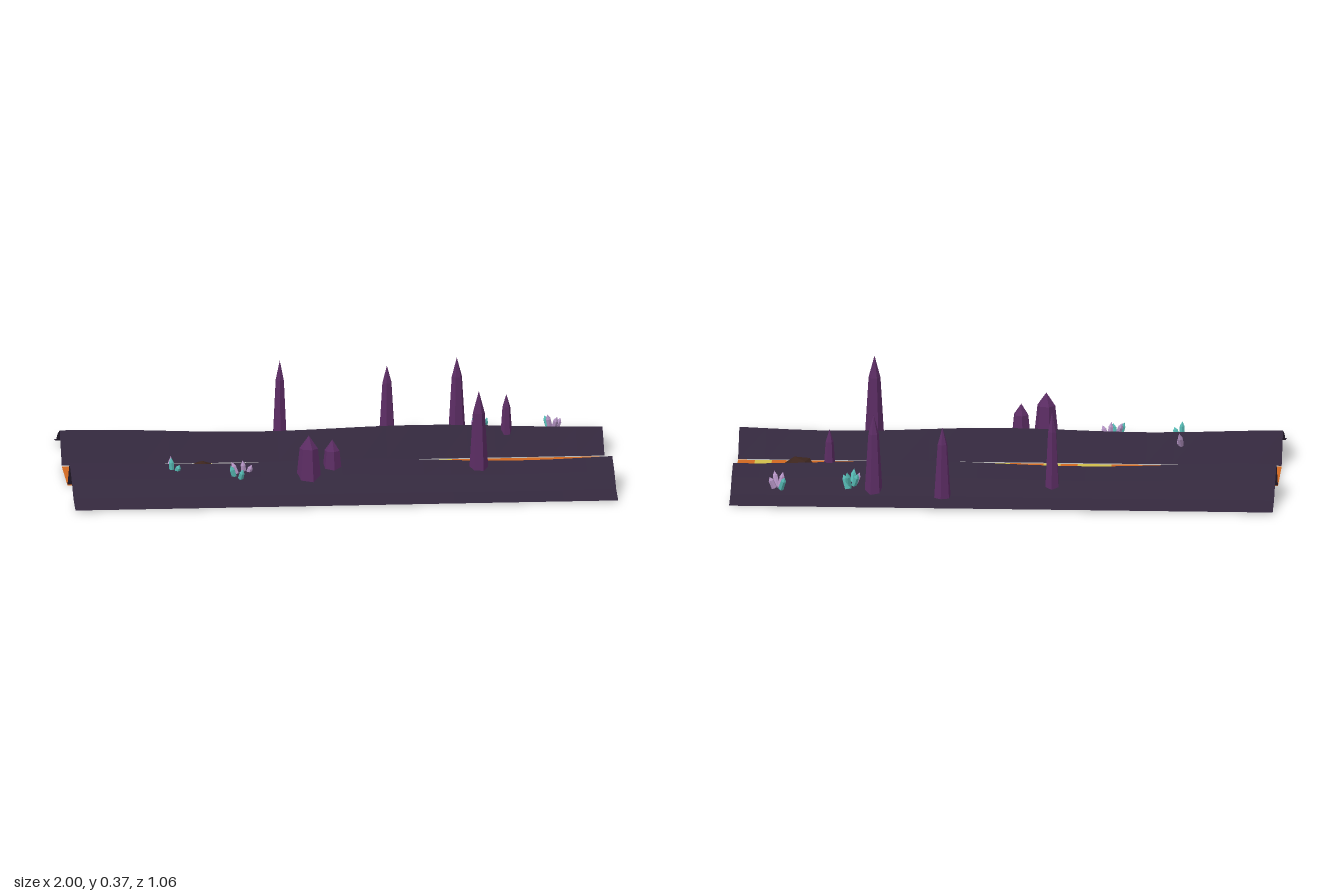
import * as THREE from 'three';

const mat = (name, color, side = THREE.FrontSide) => {
  const m = new THREE.MeshStandardMaterial({ color, flatShading: true, side });
  m.name = name;
  return m;
};

// Small seeded random generator
function seeded(seed) {
  let s = seed;
  return () => (s = (s * 16807) % 2147483647) / 2147483647;
}

// Horizontal or sloped sheet from rows of points; rows run along x
function sheet(rows) {
  const pos = [], idx = [], n = rows[0].length;
  rows.forEach(r => r.forEach(p => pos.push(...p)));
  for (let i = 0; i < rows.length - 1; i++) {
    for (let j = 0; j < n - 1; j++) {
      const a = i * n + j, b = a + 1, c = a + n, d = c + 1;
      idx.push(a, c, b, b, c, d);
    }
  }
  const g = new THREE.BufferGeometry();
  g.setAttribute('position', new THREE.Float32BufferAttribute(pos, 3));
  g.setIndex(idx);
  g.computeVertexNormals();
  return g;
}

// Bank with a wavy ridge; side is +1 for the front and -1 for the back
function bankGeometry(side) {
  const profile = [[0.14, 0.003, 0], [0.24, 0.1, 1], [0.34, 0.068, 0.55], [0.43, 0.022, 0.15], [0.53, 0.004, 0]];
  if (side < 0) profile.reverse();
  const wave = x => side > 0
    ? 0.007 * Math.sin(x * 5.5 + 1.2) - 0.005 * Math.sin(x * 2)
    : 0.008 * Math.sin(x * 5 - 0.1) - 0.004 * x;
  return sheet(profile.map(([z, y, w]) => {
    const row = [];
    for (let i = 0; i <= 20; i++) {
      const x = -1 + i * 0.1;
      row.push([x, y + w * wave(x), z * side]);
    }
    return row;
  }));
}

// Lava cells in a 32 x 3 grid, either the hot ones or the rest
const HOT = [
  [[4, 5], [8, 10], [14, 16], [20, 23]],
  [[1, 3], [4, 6], [17, 18], [19, 21], [27, 30]],
  [[3, 4], [10, 12], [13, 14], [16, 17], [23, 25], [30, 31]],
];
function lavaGeometry(hot) {
  const pos = [];
  const d = 0.28 / 3;
  HOT.forEach((runs, r) => {
    for (let c = 0; c < 32; c++) {
      if (runs.some(([a, b]) => c >= a && c < b) !== hot) continue;
      const x0 = -1 + c / 16, x1 = x0 + 1 / 16, z0 = -0.14 + r * d, z1 = z0 + d;
      pos.push(x0, 0, z0, x0, 0, z1, x1, 0, z0, x1, 0, z0, x0, 0, z1, x1, 0, z1);
    }
  });
  const g = new THREE.BufferGeometry();
  g.setAttribute('position', new THREE.Float32BufferAttribute(pos, 3));
  g.computeVertexNormals();
  return g;
}

// Six-sided crystal column with a pointed tip, standing on y = 0
function crystalGeometry(r, h, shoulder, taper) {
  return new THREE.LatheGeometry([
    new THREE.Vector2(0, 0), new THREE.Vector2(r, 0),
    new THREE.Vector2(r * taper, h * shoulder), new THREE.Vector2(0, h),
  ], 6);
}

export function createModel() {
  const root = new THREE.Group();
  root.name = 'lavaRiver';
  const ground = mat('darkGround', 0x33283d, THREE.DoubleSide);
  const lava = mat('lava', 0xd0681f, THREE.DoubleSide);
  const hotLava = mat('hotLava', 0xd0be4a, THREE.DoubleSide);
  const rock = mat('rock', 0x3c251e);
  const purple = mat('purpleCrystal', 0x5c2d64);
  const teal = mat('tealCrystal', 0x55b8b2);
  const lilac = mat('lilacCrystal', 0xb494c4);

  const add = (parent, name, geometry, material, x = 0, y = 0, z = 0) => {
    const m = new THREE.Mesh(geometry, material);
    m.name = name;
    m.position.set(x, y, z);
    parent.add(m);
    return m;
  };

  add(root, 'frontBank', bankGeometry(1), ground);
  add(root, 'backBank', bankGeometry(-1), ground);
  add(root, 'lavaFlow', lavaGeometry(false), lava);
  add(root, 'hotLavaPatches', lavaGeometry(true), hotLava);

  // Flat-bottomed rocks drifting on the lava: x, z, half width, half depth, height
  const rocks = new THREE.Group();
  rocks.name = 'rocks';
  root.add(rocks);
  const rnd = seeded(71);
  [[-0.75, -0.03, 0.045, 0.042, 0.03], [-0.49, -0.06, 0.045, 0.038, 0.03], [-0.53, 0.005, 0.055, 0.034, 0.028],
    [-0.4, -0.03, 0.034, 0.023, 0.022], [-0.27, 0, 0.038, 0.03, 0.024], [-0.19, 0.01, 0.032, 0.03, 0.024],
    [-0.03, -0.02, 0.032, 0.028, 0.022], [0.21, 0.03, 0.036, 0.03, 0.025], [0.7, 0, 0.03, 0.026, 0.02],
    [0.77, 0.06, 0.058, 0.05, 0.033]].forEach(([x, z, w, d, h]) => {
    const g = new THREE.IcosahedronGeometry(1, 0);
    g.rotateX(rnd() * 3);
    g.rotateY(rnd() * 6);
    const p = g.attributes.position;
    for (let i = 0; i < p.count; i++) p.setY(i, Math.max(p.getY(i), 0));
    g.scale(w, h, d);
    g.computeVertexNormals();
    add(rocks, 'rock', g, rock, x, 0.004, z);
  });

  // Tall spires: x, z, radius, top height
  const spires = new THREE.Group();
  spires.name = 'spires';
  root.add(spires);
  [[-0.18, -0.36, 0.029, 0.33], [0.22, -0.43, 0.032, 0.285], [0.475, -0.395, 0.034, 0.32],
    [0.645, -0.23, 0.025, 0.22], [0.505, 0.282, 0.038, 0.365], [-0.125, 0.328, 0.05, 0.22],
    [-0.035, 0.277, 0.042, 0.19]].forEach(([x, z, r, top], i) => {
    const stout = r > 0.04;
    const s = add(spires, 'spire', crystalGeometry(r, top - 0.02, 0.76, stout ? 0.68 : 0.58), purple, x, 0.02, z);
    s.rotation.y = i * 0.9;
  });

  // Small shards: x, y, z of the foot, length, tilt about x and z, colour
  const shards = new THREE.Group();
  shards.name = 'shards';
  root.add(shards);
  [[-0.63, 0.04, 0.215, 0.085, -0.55, -0.1, lilac], [-0.615, 0.035, 0.22, 0.06, -0.35, 0.15, lilac],
    [-0.625, 0.07, 0.27, 0.062, 0.05, 0.05, teal], [-0.61, 0.07, 0.275, 0.04, 0.3, -0.3, teal],
    [-0.395, 0.055, 0.32, 0.06, 0.1, 0.3, teal], [-0.38, 0.05, 0.335, 0.055, 0.3, -0.2, teal],
    [-0.385, 0.06, 0.305, 0.062, -0.2, 0.35, lilac], [-0.36, 0.06, 0.285, 0.062, 0.1, 0.1, lilac],
    [-0.35, 0.06, 0.29, 0.05, 0.2, -0.35, lilac],
    [0.55, 0.04, -0.375, 0.06, -0.3, 0.3, teal], [0.565, 0.04, -0.39, 0.07, -0.35, -0.1, teal],
    [0.555, 0.045, -0.36, 0.06, 0.4, 0.1, teal], [0.57, 0.04, -0.4, 0.055, 0.2, -0.3, teal],
    [0.545, 0.05, -0.37, 0.045, 0.2, 0.4, lilac],
    [0.82, 0.04, -0.4, 0.06, 0.15, 0.2, lilac], [0.83, 0.04, -0.385, 0.06, 0.35, -0.2, lilac],
    [0.815, 0.04, -0.415, 0.05, -0.3, 0.3, teal], [0.84, 0.04, -0.4, 0.045, -0.1, -0.4, lilac],
  ].forEach(([x, y, z, h, tx, tz, m]) => {
    const s = add(shards, 'shard', crystalGeometry(0.011, h, 0.7, 0.9), m, x, y, z);
    s.rotation.set(tx, 0, tz);
  });

  return root;
}
